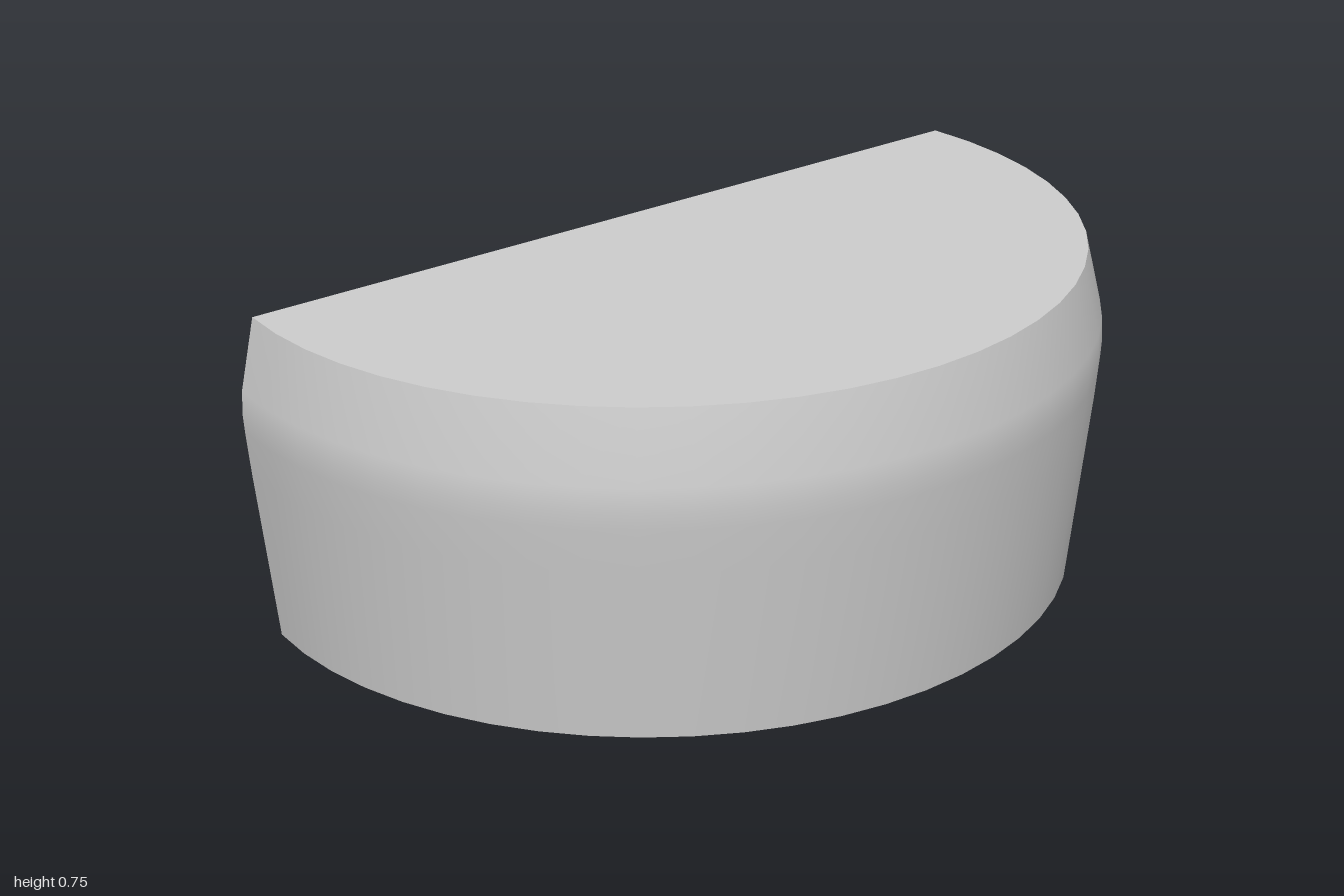
import * as THREE from 'three';

const BACK = -0.57;      // flat back plane
const CENTRE = -0.43;    // z of the arc centre
const SEGMENTS = 30;
// Wall profile from the base to the top: [radius, height]
const PROFILE = [[0.94, 0], [0.987, 0.4], [0.997, 0.5], [1, 0.54], [0.998, 0.595], [0.962, 0.755]];

// Points of the arc at one height, from the +x back corner round the front to -x
function arc(radius, y) {
  const start = Math.asin((BACK - CENTRE) / radius);
  return Array.from({ length: SEGMENTS + 1 }, (_, i) => {
    const a = start + (Math.PI - 2 * start) * (i / SEGMENTS);
    return new THREE.Vector3(radius * Math.cos(a), y, CENTRE + radius * Math.sin(a));
  });
}

function makeMesh(name, points, index, material) {
  const geometry = new THREE.BufferGeometry().setFromPoints(points);
  geometry.setIndex(index);
  geometry.computeVertexNormals();
  const mesh = new THREE.Mesh(geometry, material);
  mesh.name = name;
  return mesh;
}

export function createModel() {
  const group = new THREE.Group();
  group.name = 'halfRoundBlock';
  const material = new THREE.MeshStandardMaterial({ color: 0xcccccc });
  const rings = PROFILE.map(([r, y]) => arc(r, y));
  const n = SEGMENTS + 1;

  // Curved wall, smooth within itself and sharp against the flat faces
  const wall = [];
  for (let j = 0; j < rings.length - 1; j++) {
    for (let i = 0; i < SEGMENTS; i++) {
      const a = j * n + i, b = a + n;
      wall.push(a, b, a + 1, a + 1, b, b + 1);
    }
  }
  group.add(makeMesh('curvedWall', rings.flat(), wall, material));

  // Flat top and base, fanned from a back corner
  const top = [], base = [];
  for (let i = 1; i < SEGMENTS; i++) {
    top.push(0, i + 1, i);
    base.push(0, i, i + 1);
  }
  group.add(makeMesh('topFace', rings[rings.length - 1], top, material));
  group.add(makeMesh('baseFace', rings[0], base, material));

  // Flat back, spanning the two ends of every ring
  const ends = rings.flatMap((ring) => [ring[0], ring[SEGMENTS]]);
  const back = [];
  for (let j = 0; j < rings.length - 1; j++) {
    const a = j * 2;
    back.push(a, a + 1, a + 2, a + 1, a + 3, a + 2);
  }
  group.add(makeMesh('backFace', ends, back, material));

  return group;
}
